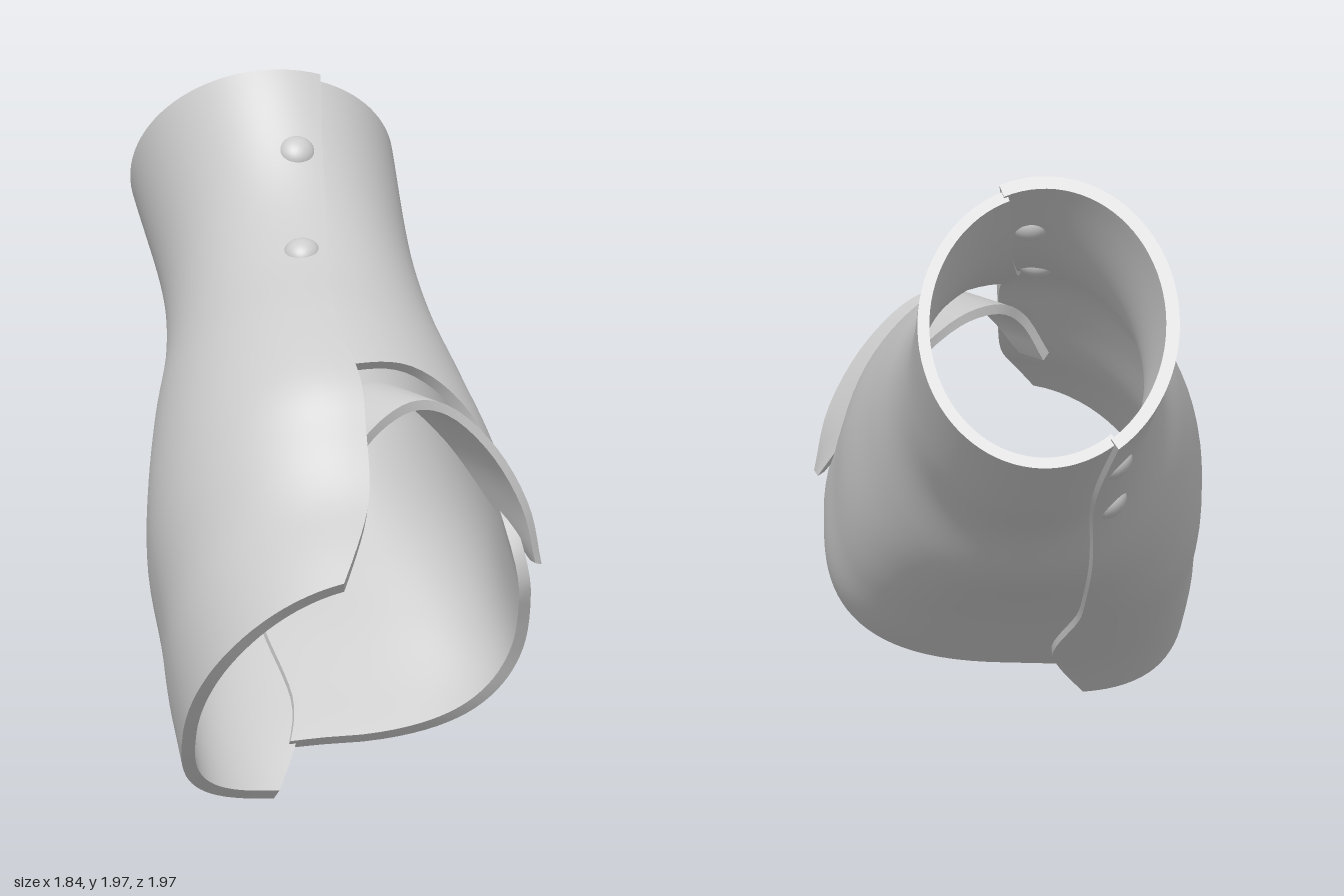
import * as THREE from 'three';
import { toCreasedNormals } from 'three/addons/utils/BufferGeometryUtils.js';

// Local frame of the forearm: A runs up the axis, U and V span a cross-section
const A = new THREE.Vector3(-0.52, 0.68, -0.52).normalize();
const U = new THREE.Vector3(1, 0, -1).normalize();
const V = new THREE.Vector3().crossVectors(A, U).negate().normalize();
if (V.y < 0) V.negate();
const TOP = 1.76;

// Smooth interpolation through rows of [key, value, value...], keys ascending
function track(rows) {
  const slope = (i, k) => {
    const a = rows[Math.max(i - 1, 0)], b = rows[Math.min(i + 1, rows.length - 1)];
    return (b[k] - a[k]) / (b[0] - a[0]);
  };
  return (x) => {
    let i = 0;
    while (i < rows.length - 2 && x > rows[i + 1][0]) i++;
    const p = rows[i], q = rows[i + 1], h = q[0] - p[0];
    const f = THREE.MathUtils.clamp((x - p[0]) / h, 0, 1), f2 = f * f, f3 = f2 * f;
    return p.slice(1).map((v, n) => v * (2 * f3 - 3 * f2 + 1) + q[n + 1] * (3 * f2 - 2 * f3)
      + h * (slope(i, n + 1) * (f3 - 2 * f2 + f) + slope(i + 1, n + 1) * (f3 - f2)));
  };
}

// Along the axis: centre u, centre v, half width, half height up, half height down, squareness below
const section = track([
  [-0.45, 0.12, 0.83, 0.46, 0.57, 0.45, 2.8],
  [-0.2, 0.17, 0.81, 0.53, 0.58, 0.43, 3],
  [0, 0.19, 0.8, 0.555, 0.565, 0.44, 3.1],
  [0.25, 0.165, 0.8, 0.55, 0.575, 0.47, 2.9],
  [0.45, 0.155, 0.8, 0.53, 0.58, 0.51, 2.5],
  [0.75, 0.14, 0.757, 0.47, 0.53, 0.53, 2.1],
  [1.05, 0.135, 0.694, 0.405, 0.46, 0.46, 2],
  [1.35, 0.12, 0.636, 0.377, 0.45, 0.45, 2],
  [1.76, 0.075, 0.624, 0.395, 0.475, 0.48, 2],
]);

// Angles of the two seams along the axis, and where each shell stops
const upperSeam = track([[-0.45, 97], [-0.1, 90], [0.36, 84], [0.7, 87], [1.07, 84], [1.5, 76], [1.76, 70]]);
const lowerSeam = track([[-0.45, 254], [-0.2, 262], [0, 263], [0.5, 252], [1, 241], [1.76, 237]]);
const frontEnd = track([[0, -0.33], [0.28, -0.43], [0.55, -0.45], [1, -0.37]]);
const backEnd = track([[0, -0.2], [0.22, -0.117], [0.38, -0.03], [0.54, 0.05], [0.6, 0.126],
  [0.66, 0.295], [0.74, 0.45], [0.865, 0.54], [1, 0.5]]);

function surface(t, degrees, inset) {
  const [cu, cv, du, up, down, square] = section(t);
  const a = THREE.MathUtils.degToRad(degrees), c = Math.cos(a), s = Math.sin(a);
  const e = s < 0 ? 2 / square : 1;
  const u = cu + (du - inset) * Math.sign(c) * Math.abs(c) ** e;
  const v = cv + ((s < 0 ? down : up) - inset) * Math.sign(s) * Math.abs(s) ** e;
  return new THREE.Vector3().addScaledVector(A, t).addScaledVector(U, u).addScaledVector(V, v);
}

// Solid sheet: closed loops (outside out, inside back) lofted along r, with both ends closed
function sheet(point, ns, nr) {
  const pos = [], idx = [], n = 2 * (ns + 1);
  for (let j = 0; j <= nr; j++) {
    for (let k = 0; k < n; k++) {
      const inside = k > ns;
      const p = point((inside ? n - 1 - k : k) / ns, j / nr, inside);
      pos.push(p.x, p.y, p.z);
    }
  }
  for (let j = 0; j < nr; j++) {
    for (let k = 0; k < n; k++) {
      const a = j * n + k, b = j * n + (k + 1) % n;
      idx.push(a, b, a + n, b, b + n, a + n);
    }
  }
  const e = nr * n;
  for (let k = 0; k < ns; k++) {
    const o = k, o1 = k + 1, i = n - 1 - k, i1 = n - 2 - k;
    idx.push(o, i, o1, o1, i, i1);
    idx.push(e + o, e + o1, e + i, e + o1, e + i1, e + i);
  }
  const g = new THREE.BufferGeometry();
  g.setAttribute('position', new THREE.Float32BufferAttribute(pos, 3));
  g.setIndex(idx);
  return toCreasedNormals(g, 0.6);
}

export function createModel() {
  const group = new THREE.Group();
  const material = new THREE.MeshStandardMaterial({ color: 0xcccccc, side: THREE.DoubleSide });
  const add = (name, geometry) => {
    const mesh = new THREE.Mesh(geometry, material);
    mesh.name = name;
    group.add(mesh);
    return mesh;
  };
  const lerp = THREE.MathUtils.lerp;

  // Front shell, wrapping from the upper seam round to the lower one
  add('frontShell', sheet((s, r, inside) => {
    const t = lerp(TOP, frontEnd(s)[0], r);
    return surface(t, lerp(upperSeam(t)[0], lowerSeam(t)[0], s), inside ? 0.04 : 0);
  }, 40, 44));

  // Back shell, tucked slightly under the front one and cut away for the thumb
  add('backShell', sheet((s, r, inside) => {
    const t = lerp(TOP - 0.01, backEnd(s)[0], r);
    return surface(t, lerp(lowerSeam(t)[0] - 2, 362 + upperSeam(t)[0], s), inside ? 0.055 : 0.02);
  }, 48, 44));

  // Thumb arch: a flared strip between its root on the shell and its free rim
  const curve = (pts) => new THREE.CatmullRomCurve3(pts.map((p) => new THREE.Vector3(...p)));
  const root = curve([[0.87, 0.72, -0.18], [0.75, 0.9, -0.14], [0.62, 1.1, -0.07],
    [0.52, 1.24, 0.06], [0.5, 1.25, 0.2], [0.52, 1.18, 0.33], [0.52, 1.04, 0.43]]);
  const rim = curve([[0.915, 0.72, -0.15], [0.9, 0.9, -0.11], [0.85, 1.09, -0.01],
    [0.78, 1.22, 0.12], [0.73, 1.24, 0.22], [0.68, 1.18, 0.33], [0.62, 1.04, 0.43]]);
  add('thumbArch', sheet((s, r, inside) => {
    const p = root.getPoint(s).lerp(rim.getPoint(s), r);
    if (inside) p.add(new THREE.Vector3(0, 0.8 - p.y, 0.15 - p.z).setLength(0.03));
    return p;
  }, 28, 6));

  // Rounded fastening studs, two along each seam
  for (const [t, angle] of [[1.48, 88], [1.07, 95], [1.48, 228], [1.07, 229]]) {
    const stud = add('stud', new THREE.SphereGeometry(0.055, 24, 16));
    const p = surface(t, angle, 0.02);
    const normal = surface(t, angle + 2, 0).sub(surface(t, angle - 2, 0))
      .cross(surface(t - 0.03, angle, 0).sub(surface(t + 0.03, angle, 0))).normalize();
    stud.position.copy(p);
    stud.quaternion.setFromUnitVectors(new THREE.Vector3(0, 0, 1), normal);
    stud.scale.z = 0.75;
  }
  // Rest on the ground and centre
  const box = new THREE.Box3().setFromObject(group);
  const c = box.getCenter(new THREE.Vector3());
  group.children.forEach((m) => m.position.sub(new THREE.Vector3(c.x, box.min.y, c.z)));
  return group;
}
